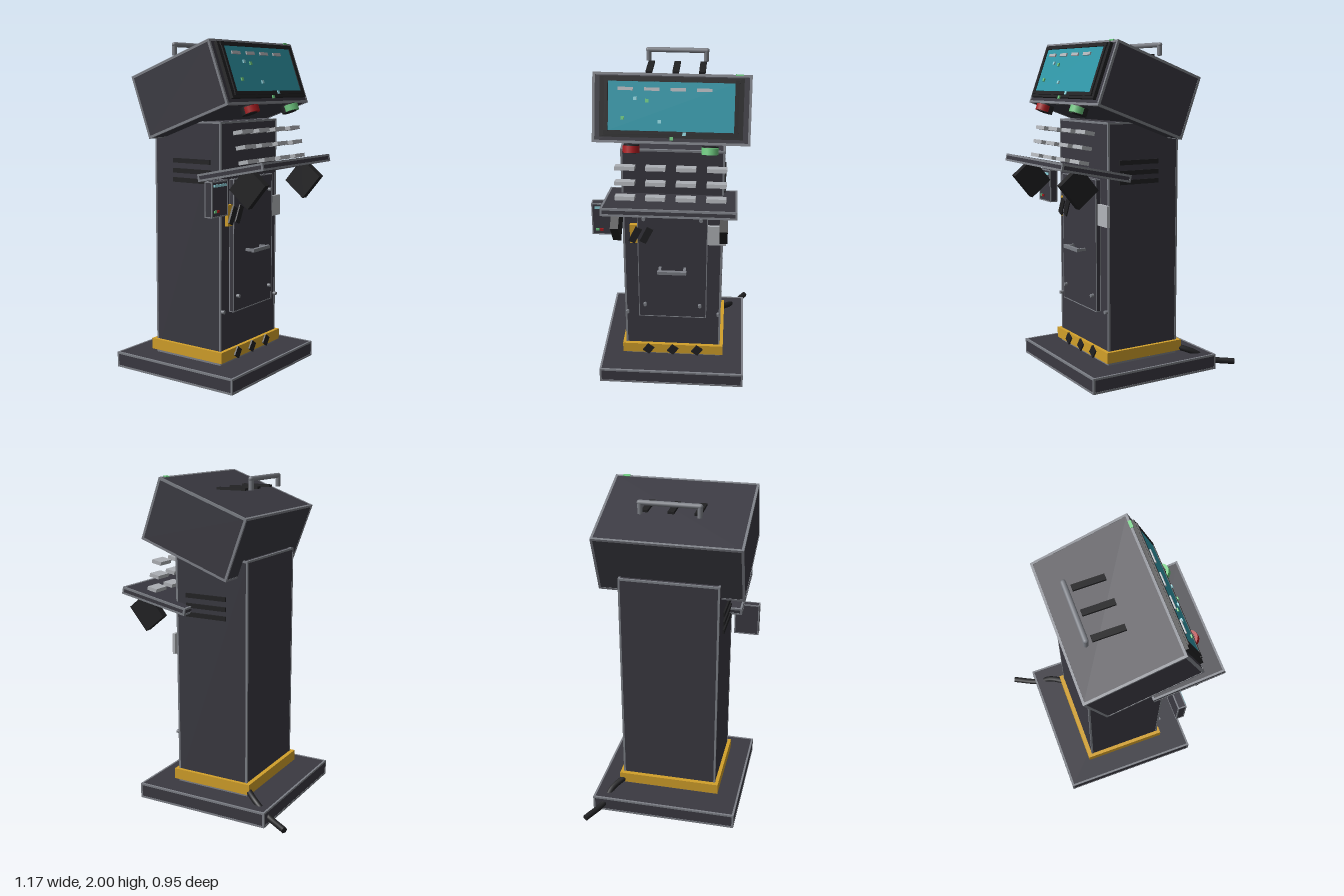
import * as THREE from 'three';

const mat = (name, color) => {
  const m = new THREE.MeshStandardMaterial({ color });
  m.name = name;
  return m;
};

export function createModel() {
  const M = {
    body: mat('charcoal', 0x3a3941),
    dark: mat('black', 0x212123),
    metal: mat('steel grey', 0x7d8087),
    key: mat('light grey', 0xb2b5ba),
    yellow: mat('safety yellow', 0xd2a02a),
    screen: mat('teal', 0x2f97a8),
    red: mat('red', 0xa81c20),
    green: mat('green', 0x6cc77e),
    cyan: mat('pale cyan', 0x8fd3dc),
  };
  const model = new THREE.Group();
  model.name = 'kiosk';

  const add = (parent, name, geo, m, x, y, z) => {
    const mesh = new THREE.Mesh(geo, m);
    mesh.name = name;
    mesh.position.set(x, y, z);
    parent.add(mesh);
    return mesh;
  };
  const box = (parent, name, m, w, h, d, x, y, z) =>
    add(parent, name, new THREE.BoxGeometry(w, h, d), m, x, y, z);

  // Box whose twelve edges carry thin steel trim
  const trimmed = (name, w, h, d, x, y, z, t = 0.012, m = M.body) => {
    const g = new THREE.Group();
    g.name = name;
    g.position.set(x, y, z);
    box(g, name + 'Shell', m, w - 0.004, h - 0.004, d - 0.004, 0, 0, 0);
    for (const a of [-1, 1]) for (const b of [-1, 1]) {
      const ex = (w - t) / 2, ey = (h - t) / 2, ez = (d - t) / 2;
      box(g, name + 'Trim', M.metal, w, t, t, 0, a * ey, b * ez);
      box(g, name + 'Trim', M.metal, t, h, t, a * ex, 0, b * ez);
      box(g, name + 'Trim', M.metal, t, t, d, a * ex, b * ey, 0);
    }
    model.add(g);
    return g;
  };

  // Base, column and hazard band
  trimmed('base', 0.87, 0.095, 0.905, -0.006, 0.0475, 0);
  trimmed('column', 0.485, 1.44, 0.6, -0.003, 0.815, 0);
  box(model, 'hazardBand', M.yellow, 0.53, 0.066, 0.64, -0.005, 0.148, 0);
  for (const z of [-0.155, 0, 0.155]) {
    box(model, 'bandStripe', M.dark, 0.012, 0.058, 0.05, 0.264, 0.147, z).rotation.x = -0.6;
  }

  // Side vents
  for (const s of [-1, 1]) for (const y of [1.185, 1.24, 1.3]) {
    box(model, 'sideVent', M.dark, 0.27, 0.027, 0.012, 0.032, y, s * 0.302);
  }

  // Service door with bolts and pull
  trimmed('door', 0.032, 0.795, 0.42, 0.254, 0.803, 0, 0.005);
  const bolt = (x, y, z) => {
    const b = add(model, 'bolt', new THREE.CylinderGeometry(0.011, 0.011, 0.024, 12), M.metal, x, y, z);
    b.rotation.z = Math.PI / 2;
  };
  for (const s of [-1, 1]) {
    bolt(0.275, 1.105, s * 0.17);
    bolt(0.275, 0.5, s * 0.17);
    bolt(0.246, 0.42, s * 0.285);
    box(model, 'doorPullPost', M.metal, 0.06, 0.016, 0.016, 0.297, 0.765, s * 0.075);
  }
  box(model, 'doorPull', M.metal, 0.02, 0.02, 0.175, 0.323, 0.765, 0);

  // Notice plates beside the door
  box(model, 'warningPlate', M.yellow, 0.022, 0.125, 0.115, 0.25, 0.99, 0.198);
  for (const z of [0.222, 0.155]) {
    box(model, 'warningStripe', M.dark, 0.012, 0.105, 0.042, 0.27, 0.99, z).rotation.x = -0.45;
  }
  box(model, 'infoPlate', M.key, 0.018, 0.127, 0.115, 0.25, 0.993, -0.262);

  // Card reader
  trimmed('cardReader', 0.052, 0.205, 0.155, 0.278, 1.108, 0.394, 0.007);
  box(model, 'cardSlot', M.cyan, 0.009, 0.014, 0.115, 0.305, 1.185, 0.395);
  box(model, 'readerGreenLight', M.green, 0.009, 0.014, 0.02, 0.305, 1.04, 0.44);
  box(model, 'readerRedLight', M.red, 0.009, 0.014, 0.02, 0.305, 1.04, 0.415);

  // Tilted shelf with brackets
  trimmed('shelf', 0.453, 0.045, 0.756, 0.355, 1.258, 0).rotation.z = 0.2;
  for (const s of [-1, 1]) {
    box(model, 'shelfBracket', M.dark, 0.182, 0.162, 0.046, 0.44, 1.173, s * 0.305).rotation.z = 0.88;
  }

  // Three stepped rows of keys
  [[0.367, 1.48], [0.386, 1.395], [0.405, 1.312]].forEach(([x, y]) => {
    for (const z of [-0.258, -0.086, 0.086, 0.258]) {
      box(model, 'key', M.key, 0.064, 0.022, 0.112, x, y, z).rotation.z = 0.2;
    }
  });

  // Tilted display head; local x points out of the screen
  const head = trimmed('head', 0.6, 0.383, 0.87, 0.038, 1.713, 0, 0.014);
  head.rotation.z = 0.35;
  box(head, 'bezel', M.dark, 0.03, 0.33, 0.785, 0.303, 0.007, 0);
  box(head, 'screen', M.screen, 0.009, 0.266, 0.688, 0.318, 0.012, 0);
  for (const s of [-1, 1]) {
    box(head, 'bezelRail', M.dark, 0.026, 0.02, 0.74, 0.313, 0.012 + s * 0.145, 0);
    box(head, 'bezelStile', M.dark, 0.026, 0.3, 0.02, 0.313, 0.012, s * 0.356);
  }
  for (const z of [0.25, 0.106, -0.037, -0.18]) {
    box(head, 'screenBar', M.key, 0.008, 0.018, 0.082, 0.327, 0.105, z);
  }
  [[0.196, 0.053, 'cyan'], [0.132, 0.043, 'green'], [0.265, -0.053, 'green'],
    [0.063, -0.069, 'cyan'], [-0.074, -0.133, 'cyan'], [-0.005, -0.16, 'green']].forEach(([z, v, c]) => {
    box(head, 'screenDot', M[c], 0.008, 0.019, 0.019, 0.328, v, z);
  });
  box(head, 'statusLight', M.green, 0.018, 0.009, 0.044, 0.295, 0.19, -0.366);

  // Push buttons under the screen
  for (const [z, c] of [[0.217, 'red'], [-0.217, 'green']]) {
    const g = new THREE.Group();
    g.name = c + 'Button';
    g.position.set(0.392, 1.604, z);
    g.rotation.z = 0.35;
    add(g, 'buttonCollar', new THREE.CylinderGeometry(0.045, 0.045, 0.046, 20), M.dark, -0.016, 0.002, 0);
    add(g, 'buttonCap', new THREE.CylinderGeometry(0.047, 0.047, 0.038, 20), M[c], 0, 0, 0);
    model.add(g);
  }

  // Top slots and carry handle
  for (const z of [-0.155, -0.003, 0.15]) {
    box(model, 'topSlot', M.dark, 0.188, 0.014, 0.037, -0.064, 1.922, z);
  }
  add(model, 'handleBar', new THREE.CapsuleGeometry(0.015, 0.345, 6, 12), M.metal, -0.196, 1.984, 0)
    .rotation.x = Math.PI / 2;
  for (const s of [-1, 1]) {
    add(model, 'handlePost', new THREE.CylinderGeometry(0.015, 0.015, 0.065, 12), M.metal, -0.196, 1.952, s * 0.17);
  }

  // Power cable
  const path = new THREE.CatmullRomCurve3([[-0.2, 0.15, -0.25], [-0.33, 0.105, -0.35],
    [-0.43, 0.048, -0.385], [-0.575, 0.028, -0.462]].map((p) => new THREE.Vector3(...p)));
  add(model, 'cable', new THREE.TubeGeometry(path, 24, 0.019, 10), M.dark, 0, 0, 0);
  const end = add(model, 'cableEnd', new THREE.CylinderGeometry(0.019, 0.019, 0.006, 10), M.dark, -0.575, 0.028, -0.462);
  end.quaternion.setFromUnitVectors(new THREE.Vector3(0, 1, 0), path.getTangent(1));

  return model;
}
